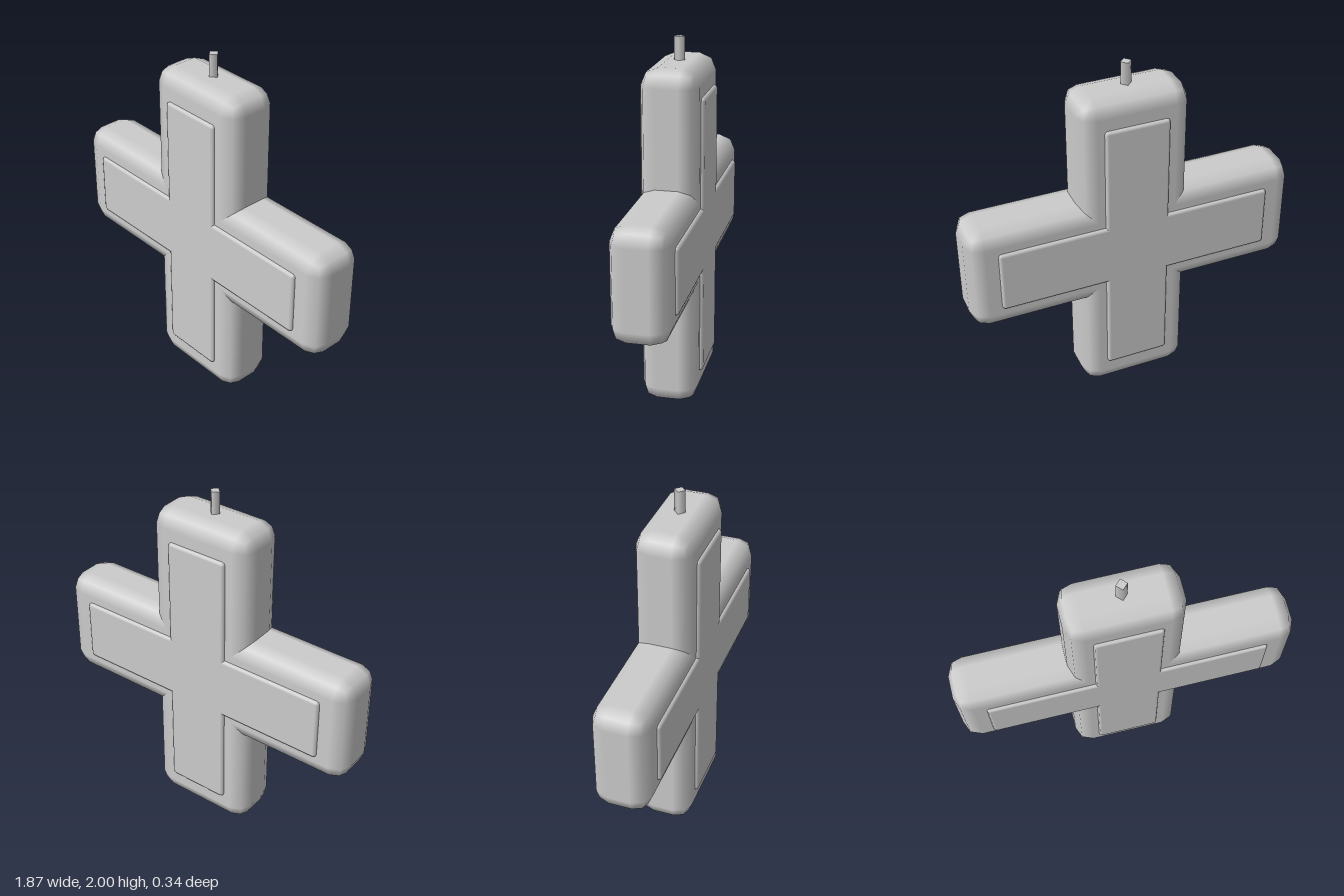
import * as THREE from 'three';
import { RoundedBoxGeometry } from 'three/addons/geometries/RoundedBoxGeometry.js';

export function createModel() {
  const model = new THREE.Group();
  model.name = 'crossPendant';
  const grey = new THREE.MeshStandardMaterial({ color: 0xcccccc });
  grey.name = 'light grey';
  const centreY = 0.94;

  // A plus sign made of one upright and one crosswise rounded bar
  function addCross(name, length, width, depth, radius) {
    const cross = new THREE.Group();
    cross.name = name;
    cross.position.y = centreY;
    const sizes = { Upright: [width, length], Crossbar: [length, width] };
    for (const [bar, [w, h]] of Object.entries(sizes)) {
      const mesh = new THREE.Mesh(new RoundedBoxGeometry(w, h, depth, 1, radius), grey);
      mesh.name = name + bar;
      cross.add(mesh);
    }
    model.add(cross);
  }

  // Thick body, and a slimmer cross raised slightly on front and back
  addCross('body', 1.87, 0.62, 0.31, 0.093);
  addCross('raisedPanel', 1.55, 0.36, 0.345, 0.018);

  // Four-sided hanging pin on top
  const pin = new THREE.Mesh(new THREE.CylinderGeometry(0.03, 0.03, 0.14, 4), grey);
  pin.name = 'hangingPin';
  pin.position.y = 1.93;
  model.add(pin);

  return model;
}
